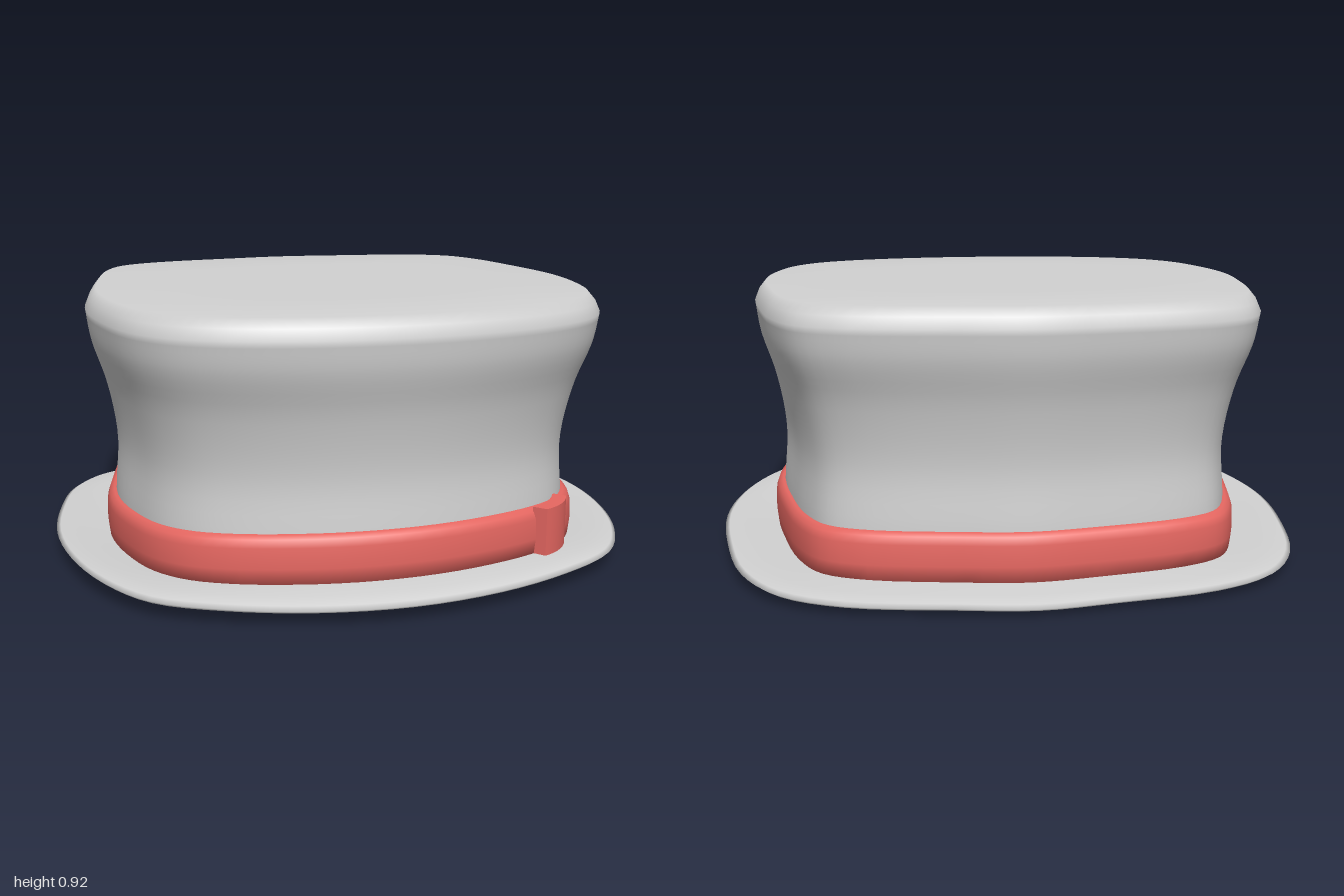
import * as THREE from 'three';

const COLS = 96;

// Closed outlines in plan: right half from back to front, mirrored to the left
function outline(half) {
  const left = half.slice(1, -1).reverse().map(([x, z]) => [-x, z]);
  const pts = [...half, ...left].map(([x, z]) => new THREE.Vector3(x, 0, z));
  const curve = new THREE.CatmullRomCurve3(pts, true, 'centripetal');
  return Array.from({ length: COLS }, (_, j) => curve.getPoint(j / COLS));
}

const brimLine = outline([
  [0, -0.935], [0.25, -0.905], [0.58, -0.85], [0.78, -0.75], [0.9, -0.58], [0.97, -0.3], [1, 0],
  [0.97, 0.27], [0.895, 0.5], [0.77, 0.69], [0.57, 0.805], [0.3, 0.895], [0, 0.93],
]);
const crownLine = outline([
  [0, -0.835], [0.22, -0.815], [0.55, -0.765], [0.71, -0.68], [0.79, -0.52], [0.84, -0.25], [0.87, 0.05],
  [0.848, 0.3], [0.79, 0.52], [0.69, 0.66], [0.53, 0.755], [0.28, 0.82], [0, 0.84],
]);

// One ring: s scales the crown outline, t blends it out to the brim edge,
// y = [side height, front-back tilt, front-back bow], r rounds the corners
function ring({ s, t = 0, y, r = 0 }) {
  return crownLine.map((c, j) => {
    const round = s * (1 - r * Math.sin(2 * Math.atan2(c.z, c.x)) ** 2);
    const b = brimLine[j];
    const f = c.z / 0.84;
    return [
      THREE.MathUtils.lerp(c.x * round, b.x, t),
      y[0] + y[1] * f + y[2] * f * f,
      THREE.MathUtils.lerp(c.z * round, b.z, t),
    ];
  });
}

// Smooth surface through a list of rings
function loft(name, rings, material) {
  const positions = rings.flatMap((spec) => ring(spec).flat());
  const index = [];
  for (let i = 0; i < rings.length - 1; i++) {
    for (let j = 0; j < COLS; j++) {
      const a = i * COLS + j;
      const b = i * COLS + ((j + 1) % COLS);
      const c = a + COLS;
      const d = b + COLS;
      index.push(a, c, b, b, c, d);
    }
  }
  const geometry = new THREE.BufferGeometry();
  geometry.setAttribute('position', new THREE.Float32BufferAttribute(positions, 3));
  geometry.setIndex(index);
  geometry.computeVertexNormals();
  const mesh = new THREE.Mesh(geometry, material);
  mesh.name = name;
  return mesh;
}

// Flared wall profile: scale, height, corner rounding
const wall = new THREE.CatmullRomCurve3([
  [0.905, 0.05, 0.032], [0.907, 0.2, 0.032], [0.893, 0.4, 0.028], [0.93, 0.6, 0.022],
  [0.983, 0.75, 0.014], [1, 0.85, 0.01],
].map((p) => new THREE.Vector3(...p)));

const flat = (s, y, r = 0) => ({ s, y: [y, 0, 0], r });

export function createModel() {
  const felt = new THREE.MeshStandardMaterial({ color: 0xd2d2d2 });
  felt.name = 'grey felt';
  const ribbon = new THREE.MeshStandardMaterial({ color: 0xec6a64 });
  ribbon.name = 'red ribbon';

  const hat = new THREE.Group();
  hat.name = 'hat';

  // Crown: flared wall, softened edge and flat top
  hat.add(loft('crown', [
    ...wall.getPoints(24).map((p) => flat(p.x, p.y, p.z)),
    flat(0.983, 0.885, 0.01), flat(0.955, 0.915, 0.01), flat(0.55, 0.915), flat(0, 0.915),
  ], felt));

  // Lining: shallow dome inside the opening, ending in a small stepped lip
  hat.add(loft('lining', [
    flat(0, 0.3), flat(0.2, 0.29), flat(0.4, 0.25), flat(0.6, 0.17, 0.01), flat(0.75, 0.105, 0.02),
    { s: 0.85, y: [0.055, 0.006, 0.015], r: 0.03 },
    { s: 0.875, y: [0.032, 0.012, 0.027], r: 0.03 },
    { s: 0.885, y: [0.02, 0.012, 0.027], r: 0.03 },
    { s: 0.915, y: [0.018, 0.012, 0.027], r: 0.03 },
    { s: 0.92, y: [0.008, 0.012, 0.027], r: 0.03 },
  ], felt));

  // Brim: underside out to the upturned edge, then back along the top
  const brim = [
    { t: 0, y: [0.008, 0.012, 0.027] },
    { t: 0.06, y: [0.001, 0.0125, 0.0275] },
    { t: 0.35, y: [0.002, 0.0125, 0.022] },
    { t: 0.7, y: [0.02, 0.013, 0.002] },
    { t: 0.92, y: [0.047, 0.0135, -0.017] },
    { t: 1, y: [0.063, 0.0135, -0.0235] },
    { t: 0.93, y: [0.07, 0.0145, -0.017] },
    { t: 0.6, y: [0.064, 0.016, -0.002] },
    { t: 0.25, y: [0.056, 0.016, 0.013] },
    { t: 0, y: [0.052, 0.015, 0.02] },
  ];
  hat.add(loft('brim', brim.map((spec) => ({ s: 0.92, r: 0.03, ...spec })), felt));

  // Hat band with softly rolled edges
  const band = [
    { s: 0.9, y: [0.045, 0.015, 0.02] },
    { s: 0.94, y: [0.05, 0.015, 0.02] },
    { s: 0.946, y: [0.1, 0.015, 0.022] },
    { s: 0.944, y: [0.165, 0.015, 0.025] },
    { s: 0.934, y: [0.19, 0.015, 0.025] },
    { s: 0.917, y: [0.2, 0.015, 0.025] },
    { s: 0.89, y: [0.2, 0.015, 0.025] },
  ];
  hat.add(loft('hatBand', band.map((spec) => ({ r: 0.032, ...spec })), ribbon));

  // Ribbon knot bent around the front left corner
  const knotGeometry = new THREE.BoxGeometry(0.17, 0.16, 0.05, 8, 1, 1);
  const p = knotGeometry.attributes.position;
  for (let i = 0; i < p.count; i++) p.setZ(i, p.getZ(i) - 2.4 * p.getX(i) ** 2);
  knotGeometry.computeVertexNormals();
  const knot = new THREE.Mesh(knotGeometry, ribbon);
  knot.name = 'ribbonKnot';
  knot.position.set(0.582, 0.16, 0.65);
  knot.rotation.y = Math.PI / 4.2;
  hat.add(knot);

  return hat;
}
